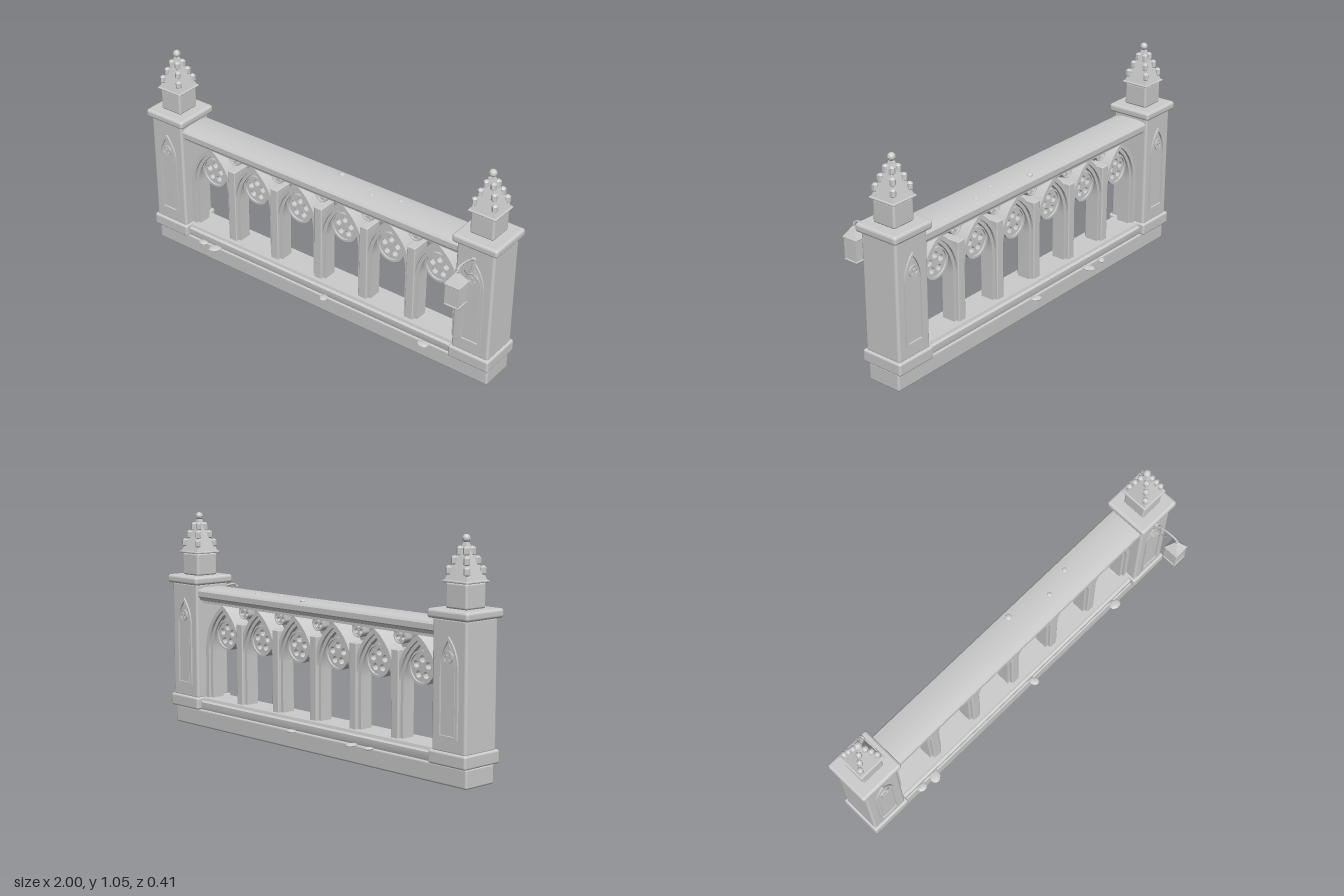
import * as THREE from 'three';
import { toCreasedNormals } from 'three/addons/utils/BufferGeometryUtils.js';
import { RoundedBoxGeometry } from 'three/addons/geometries/RoundedBoxGeometry.js';

const stone = new THREE.MeshStandardMaterial({ color: 0xcccccc });
stone.name = 'grey stone';
const ZC = -0.0665; // centre line of the wall

function add(parent, name, geometry, x = 0, y = 0, z = 0) {
  const mesh = new THREE.Mesh(geometry, stone);
  mesh.name = name;
  mesh.position.set(x, y, z);
  parent.add(mesh);
  return mesh;
}

function group(parent, name, x = 0, y = 0, z = 0) {
  const g = new THREE.Group();
  g.name = name;
  g.position.set(x, y, z);
  parent.add(g);
  return g;
}

const block = (w, h, d, r = 0.008) => new RoundedBoxGeometry(w, h, d, 3, r);
const faceted = (g) => toCreasedNormals(g, 0.1);

// Four-sided taper with half-widths at top and bottom
const taper = (top, bottom, h) =>
  faceted(new THREE.CylinderGeometry(top * Math.SQRT2, bottom * Math.SQRT2, h, 4).rotateY(Math.PI / 4));

// Slab extruded about its own mid-plane
const slab = (shape, depth) => toCreasedNormals(
  new THREE.ExtrudeGeometry(shape, { depth, bevelEnabled: false, curveSegments: 14 }).translate(0, 0, -depth / 2), 0.5);

// Pointed arch outline: half-width w, arc radius r, foot y0, springing ys
function lancet(w, r, y0, ys) {
  const right = [];
  const end = Math.acos((r - w) / r);
  for (let i = 0; i <= 12; i++) {
    const a = (end * i) / 12;
    right.push(new THREE.Vector2(w - r + r * Math.cos(a), ys + r * Math.sin(a)));
  }
  const left = right.slice(0, -1).reverse().map((p) => new THREE.Vector2(-p.x, p.y));
  return [new THREE.Vector2(w, y0), ...right, ...left, new THREE.Vector2(-w, y0)];
}

// Arch band open at the foot
const archBand = (w, r, t, y0, ys, depth) => slab(new THREE.Shape(
  [...lancet(w, r, y0, ys), ...lancet(w - t, r - t, y0, ys).reverse()]), depth);

// Round tracery with a ring of pierced holes
function rosette(parent, name, r, holes, depth, x, y, z) {
  const g = group(parent, name, x, y, z);
  const disc = new THREE.Shape().absarc(0, 0, r, 0, Math.PI * 2);
  for (let i = 0; i < holes; i++) {
    const a = Math.PI / 2 + (i * Math.PI * 2) / holes;
    disc.holes.push(new THREE.Path().absarc(
      Math.cos(a) * r * 0.5, Math.sin(a) * r * 0.5, r * (holes > 3 ? 0.21 : 0.28), 0, Math.PI * 2, true));
  }
  add(g, 'piercedDisc', slab(disc, depth));
  const rim = new THREE.Shape().absarc(0, 0, r, 0, Math.PI * 2);
  rim.holes.push(new THREE.Path().absarc(0, 0, r * 0.86, 0, Math.PI * 2, true));
  add(g, 'rim', slab(rim, depth * 1.6));
}

// Moulding swept along x from a half-profile of [z, y] points
function moulding(half, length) {
  const pts = [...half, ...half.map(([z, y]) => [-z, y]).reverse()].map(([z, y]) => new THREE.Vector2(z, y));
  return slab(new THREE.Shape(pts), length).rotateY(Math.PI / 2);
}

function pinnacle(parent) {
  const g = group(parent, 'pinnacle');
  add(g, 'neck', block(0.12, 0.11, 0.122, 0.01), 0, 0.799);
  add(g, 'collar', block(0.141, 0.01, 0.141, 0.004), 0, 0.858);
  add(g, 'spire', taper(0.008, 0.063, 0.158), 0, 0.941);
  add(g, 'finialBall', faceted(new THREE.IcosahedronGeometry(0.0185, 1)), 0, 1.035);
  const bud = faceted(new THREE.LatheGeometry(
    [[0, -0.021], [0.008, -0.018], [0.0145, -0.013], [0.0145, 0.012], [0.008, 0.018], [0, 0.021]]
      .map(([x, y]) => new THREE.Vector2(x, y)), 6));
  for (const [offset, y] of [[0.05, 0.903], [0.034, 0.944], [0.018, 0.984]])
    for (const sx of [-1, 1]) for (const sz of [-1, 1]) add(g, 'crocket', bud, sx * offset, y, sz * offset);
}

function pier(parent, name, x) {
  const g = group(parent, name, x, 0, ZC);
  add(g, 'foot', block(0.212, 0.06, 0.218, 0.01), 0, 0.117);
  add(g, 'shaft', block(0.192, 0.57, 0.195, 0.012), 0, 0.425);
  add(g, 'cap', block(0.23, 0.041, 0.232, 0.014), 0, 0.725);
  for (const side of [0, Math.PI]) {
    const p = group(g, 'lancetPanel');
    p.rotation.y = side;
    const frame = new THREE.Shape(lancet(0.055, 0.193, 0.205, 0.5));
    frame.holes.push(new THREE.Path(lancet(0.043, 0.181, 0.217, 0.5).reverse()));
    add(p, 'frame', slab(frame, 0.016), 0, 0, 0.098);
    add(p, 'innerPanel', slab(new THREE.Shape(lancet(0.037, 0.175, 0.223, 0.5)), 0.01), 0, 0, 0.097);
    rosette(p, 'panelRosette', 0.027, 3, 0.006, 0, 0.55, 0.103);
  }
  pinnacle(g);
}

function bay(parent, x) {
  const g = group(parent, 'archBay', x, 0, ZC);
  add(g, 'outerArch', archBand(0.13, 0.272, 0.02, 0.14, 0.38, 0.092));
  add(g, 'innerArch', archBand(0.112, 0.254, 0.018, 0.14, 0.38, 0.066));
  // Web filling the point of the arch above the rosette
  const point = lancet(0.098, 0.24, 0.38, 0.38).filter((p) => p.y > 0.47);
  add(g, 'archWeb', slab(new THREE.Shape([...point, new THREE.Vector2(-0.045, 0.525), new THREE.Vector2(0.045, 0.525)]), 0.02));
  rosette(g, 'rosette', 0.075, 5, 0.028, 0, 0.467, 0);
}

function lantern(parent) {
  const g = group(parent, 'lantern', 0.882);
  const tube = (pts, r) => new THREE.TubeGeometry(
    new THREE.CatmullRomCurve3(pts.map(([z, y]) => new THREE.Vector3(0, y, z))), 24, r, 8);
  add(g, 'wallPlate', block(0.02, 0.09, 0.01, 0.003), 0, 0.615, 0.036);
  add(g, 'arm', tube([[0.035, 0.65], [0.07, 0.668], [0.12, 0.679], [0.155, 0.677], [0.167, 0.66]], 0.005));
  add(g, 'brace', tube([[0.035, 0.582], [0.065, 0.592], [0.09, 0.612], [0.108, 0.64]], 0.004));
  const L = group(g, 'lanternBody', 0, 0, 0.166);
  add(L, 'hangingRing', new THREE.TorusGeometry(0.009, 0.003, 6, 14), 0, 0.664);
  add(L, 'roof', taper(0.006, 0.039, 0.05), 0, 0.63);
  add(L, 'eave', block(0.076, 0.006, 0.076, 0.002), 0, 0.603);
  add(L, 'panes', new THREE.BoxGeometry(0.066, 0.1, 0.066), 0, 0.551);
  for (const sx of [-1, 1]) for (const sz of [-1, 1])
    add(L, 'cornerPost', new THREE.BoxGeometry(0.008, 0.1, 0.008), sx * 0.031, 0.551, sz * 0.031);
  add(L, 'basePlate', block(0.074, 0.009, 0.074, 0.003), 0, 0.499);
  add(L, 'dropFinial', taper(0.013, 0.003, 0.024), 0, 0.484);
}

export function createModel() {
  const model = new THREE.Group();
  model.name = 'gothicBalustrade';

  // Plinth and rails
  add(model, 'plinth', block(1.96, 0.088, 0.175, 0.01), 0, 0.044, ZC);
  add(model, 'bottomRail', moulding(
    [[0.08, 0.086], [0.084, 0.1], [0.084, 0.125], [0.074, 0.132], [0.07, 0.145]], 1.6), 0, 0, ZC);
  add(model, 'handrail', moulding([[0.06, 0.615], [0.06, 0.627], [0.075, 0.631], [0.08, 0.643],
    [0.09, 0.65], [0.09, 0.675], [0.082, 0.685], [0.045, 0.692]], 1.62), 0, 0, ZC);

  pier(model, 'rightPier', -0.885);
  pier(model, 'leftPier', 0.885);

  // Arcade of six bays with posts between
  const pitch = 0.262;
  for (let i = 0; i < 6; i++) bay(model, (i - 2.5) * pitch);
  for (let i = -2; i <= 2; i++) {
    const x = i * pitch;
    add(model, 'post', block(0.044, 0.395, 0.1, 0.005), x, 0.338, ZC);
    rosette(model, 'spandrelRosette', 0.036, 3, 0.026, x, 0.592, ZC);
  }

  lantern(model);

  // Loose chips on the ledge and pebbles on the handrail
  const chip = faceted(new THREE.IcosahedronGeometry(1, 1));
  const chips = [[-0.68, 0.03, 0.026], [-0.6, 0.034, 0.034], [0.075, 0.035, 0.026], [0.645, 0.04, 0.03],
    [-0.425, -0.175, 0.022], [-0.32, -0.177, 0.032], [0.08, -0.178, 0.028]];
  chips.forEach(([x, z, r], i) => {
    const m = add(model, 'stoneChip', chip, x, 0.09, z);
    m.scale.set(r, 0.008, r * 0.8);
    m.rotation.y = i;
  });
  for (const [x, z, r] of [[0.06, -0.12, 0.016], [0.27, -0.066, 0.011], [0.405, -0.1, 0.012]])
    add(model, 'pebble', chip, x, 0.691, z).scale.set(r, r * 0.55, r);

  return model;
}
